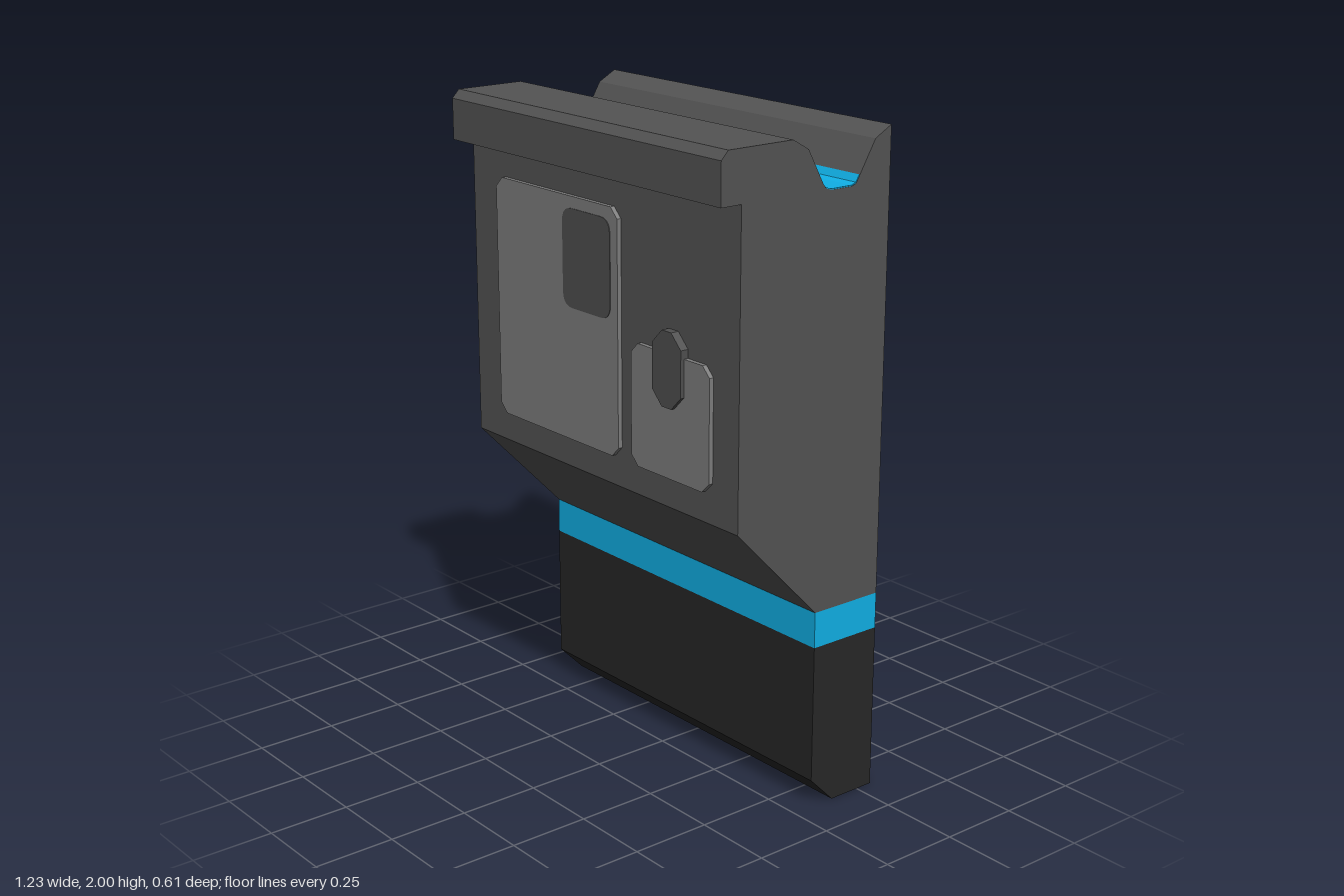
import * as THREE from 'three';

const WIDTH = 1.23;

const material = (name, color) => {
  const m = new THREE.MeshStandardMaterial({ color });
  m.name = name;
  return m;
};

export function createModel() {
  const model = new THREE.Group();
  model.name = 'slabDevice';
  const bodyGrey = material('bodyGrey', 0x545454);
  const panelGrey = material('panelGrey', 0x7e7e7e);
  const detailGrey = material('detailGrey', 0x505050);
  const baseBlack = material('baseBlack', 0x272727);
  const bandBlue = material('bandBlue', 0x10b0e6);

  const add = (name, geometry, mat) => {
    const mesh = new THREE.Mesh(geometry, mat);
    mesh.name = name;
    model.add(mesh);
    return mesh;
  };

  // Side profile of [z, y] points, extruded across the full width
  const addProfile = (name, points, mat, width = WIDTH) => {
    const shape = new THREE.Shape(points.map(([z, y]) => new THREE.Vector2(z, y)));
    const geometry = new THREE.ExtrudeGeometry(shape, { depth: width, bevelEnabled: false });
    geometry.translate(0, 0, -width / 2).rotateY(-Math.PI / 2);
    add(name, geometry, mat);
  };

  // Front plate with cut or rounded corners
  const addPlate = (name, [x0, x1, y0, y1], corner, round, z, depth, mat) => {
    const s = new THREE.Shape();
    const turn = (cx, cy, x, y) => (round ? s.quadraticCurveTo(cx, cy, x, y) : s.lineTo(x, y));
    s.moveTo(x0 + corner, y0);
    s.lineTo(x1 - corner, y0);
    turn(x1, y0, x1, y0 + corner);
    s.lineTo(x1, y1 - corner);
    turn(x1, y1, x1 - corner, y1);
    s.lineTo(x0 + corner, y1);
    turn(x0, y1, x0, y1 - corner);
    s.lineTo(x0, y0 + corner);
    turn(x0, y0, x0 + corner, y0);
    const geometry = new THREE.ExtrudeGeometry(s, { depth, bevelEnabled: false, curveSegments: 5 });
    add(name, geometry, mat).position.z = z;
  };

  // Floor of the top groove, shared by the body and its liner
  const groove = [[-0.056, 1.867], [-0.068, 1.853], [-0.088, 1.847],
    [-0.162, 1.847], [-0.178, 1.853], [-0.19, 1.873]];

  // Main housing with overhanging lip and groove
  addProfile('housing', [
    [-0.306, 0.62], [-0.063, 0.62], [0.235, 0.928], [0.235, 1.851], [0.306, 1.851],
    [0.306, 1.975], [0.282, 2], [0.056, 2], [0, 1.968],
    ...groove,
    [-0.247, 1.968], [-0.306, 2],
  ], bodyGrey);

  // Thin coloured liner on the groove floor
  const liner = groove.slice(1);
  addProfile('grooveLiner', [
    ...liner, ...liner.map(([z, y]) => [z * 0.99 - 0.001, y + 0.003]).reverse(),
  ], bandBlue, WIDTH - 0.002);

  // Coloured band and chamfered foot
  addProfile('band', [[-0.306, 0.51], [-0.063, 0.51], [-0.063, 0.62], [-0.306, 0.62]], bandBlue);
  addProfile('foot', [
    [-0.306, 0], [-0.148, 0], [-0.063, 0.086], [-0.063, 0.51], [-0.306, 0.51],
  ], baseBlack);

  // Front panels, window and latch
  addPlate('largePanel', [-0.48, 0.105, 1.02, 1.755], 0.03, false, 0.234, 0.015, panelGrey);
  addPlate('window', [-0.15, 0.073, 1.425, 1.72], 0.045, true, 0.248, 0.003, detailGrey);
  addPlate('smallPanel', [0.165, 0.508, 1.02, 1.385], 0.03, false, 0.234, 0.015, panelGrey);
  addPlate('latch', [0.275, 0.4, 1.232, 1.453], 0.042, false, 0.234, 0.027, detailGrey);

  return model;
}
